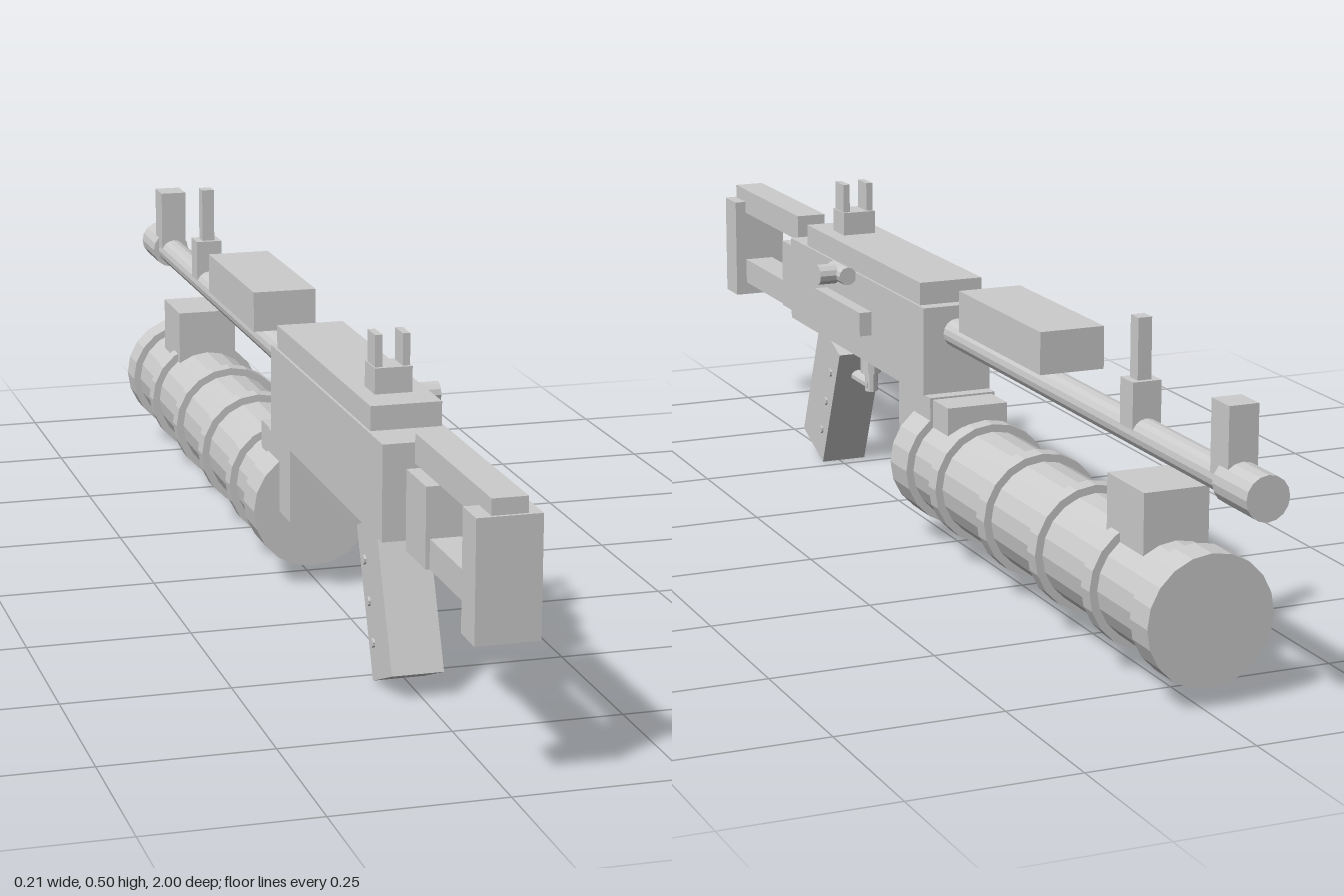
import * as THREE from 'three';

const CX = -0.008; // centre line of the body

export function createModel() {
  const root = new THREE.Group();
  const mat = new THREE.MeshStandardMaterial({ color: 0xcccccc, flatShading: true });

  const add = (name, geo, x, y, z) => {
    const mesh = new THREE.Mesh(geo, mat);
    mesh.name = name;
    mesh.position.set(x, y, z);
    root.add(mesh);
    return mesh;
  };
  // box given by its limits on each axis
  const box = (name, x0, x1, y0, y1, z0, z1) =>
    add(name, new THREE.BoxGeometry(x1 - x0, y1 - y0, z1 - z0),
      (x0 + x1) / 2, (y0 + y1) / 2, (z0 + z1) / 2);
  // cylinder lying along z
  const rod = (name, r, x, y, z0, z1, sides = 16) =>
    add(name, new THREE.CylinderGeometry(r, r, z1 - z0, sides).rotateX(Math.PI / 2),
      x, y, (z0 + z1) / 2);
  // cylinder lying along x
  const pin = (name, r, x0, x1, y, z, sides = 12) =>
    add(name, new THREE.CylinderGeometry(r, r, x1 - x0, sides).rotateZ(Math.PI / 2),
      (x0 + x1) / 2, y, z);

  // Skeleton stock
  box('buttPlate', -0.054, 0.037, 0.218, 0.39, 0.945, 1);
  box('stockUpperBar', -0.032, 0.018, 0.37, 0.413, 0.67, 0.995);
  box('stockLowerBar', -0.032, 0.018, 0.24, 0.283, 0.7, 0.96);
  box('stockMount', -0.038, 0.022, 0.24, 0.357, 0.65, 0.74);

  // Receiver
  box('receiver', -0.064, 0.049, 0.245, 0.386, 0.022, 0.622);
  box('receiverCover', -0.06, 0.045, 0.38, 0.422, 0.045, 0.55);
  box('sideRail', 0.045, 0.07, 0.295, 0.334, 0.243, 0.448);

  // Cocking handle
  rod('handleBase', 0.015, 0.062, 0.38, 0.315, 0.378, 12);
  pin('handleKnob', 0.017, 0.073, 0.104, 0.38, 0.347);

  // Rear sight
  box('rearSightBase', -0.036, 0.02, 0.415, 0.46, 0.44, 0.49);
  box('rearSightProng', -0.034, -0.023, 0.455, 0.507, 0.446, 0.484);
  box('rearSightProng', 0.007, 0.018, 0.455, 0.507, 0.446, 0.484);

  // Barrel and front sights
  rod('barrel', 0.023, CX, 0.342, -0.92, 0.03);
  rod('muzzle', 0.032, CX, 0.343, -1, -0.905);
  box('muzzleSight', -0.03, 0.014, 0.35, 0.452, -0.93, -0.88);
  box('frontSightBase', -0.03, 0.014, 0.35, 0.418, -0.648, -0.608);
  box('frontSightPost', -0.018, 0.003, 0.41, 0.507, -0.64, -0.616);
  box('topBlock', -0.058, 0.044, 0.376, 0.44, -0.406, -0.107);

  // Slanted grip with side studs
  const grip = new THREE.Group();
  grip.name = 'grip';
  grip.position.set(CX, 0.13, 0.528);
  grip.rotation.x = -0.39;
  grip.add(new THREE.Mesh(new THREE.BoxGeometry(0.077, 0.226, 0.1), mat));
  for (const y of [-0.06, 0, 0.06]) {
    const stud = new THREE.Mesh(
      new THREE.CylinderGeometry(0.007, 0.007, 0.084, 8).rotateZ(Math.PI / 2), mat);
    stud.name = 'gripStud';
    stud.position.set(0, y, -0.025);
    grip.add(stud);
  }
  root.add(grip);

  // Trigger
  rod('triggerBar', 0.011, CX, 0.173, 0.385, 0.47, 10);
  add('triggerLever', new THREE.CylinderGeometry(0.011, 0.011, 0.06, 10), CX, 0.192, 0.391);
  add('triggerPivot', new THREE.CylinderGeometry(0.017, 0.017, 0.04, 10), CX, 0.213, 0.393);

  // Large tube under the barrel, with end caps and bands
  const ty = 0.131;
  rod('tube', 0.084, CX, ty, -0.84, 0.055, 20);
  const bands = [[0, 0.067], [-0.118, -0.09], [-0.305, -0.275],
    [-0.488, -0.46], [-0.67, -0.642], [-0.85, -0.797]];
  bands.forEach(([a, b], i) =>
    rod(i === 0 || i === 5 ? 'tubeCap' : 'tubeBand', 0.096, CX, ty, a, b, 20));

  // Tube mounts
  box('rearBracket', -0.063, 0.047, 0.129, 0.246, 0, 0.13);
  box('rearTopMount', -0.058, 0.042, 0.197, 0.243, -0.06, 0.066);
  box('frontTopMount', -0.058, 0.042, 0.19, 0.288, -0.743, -0.628);

  return root;
}
